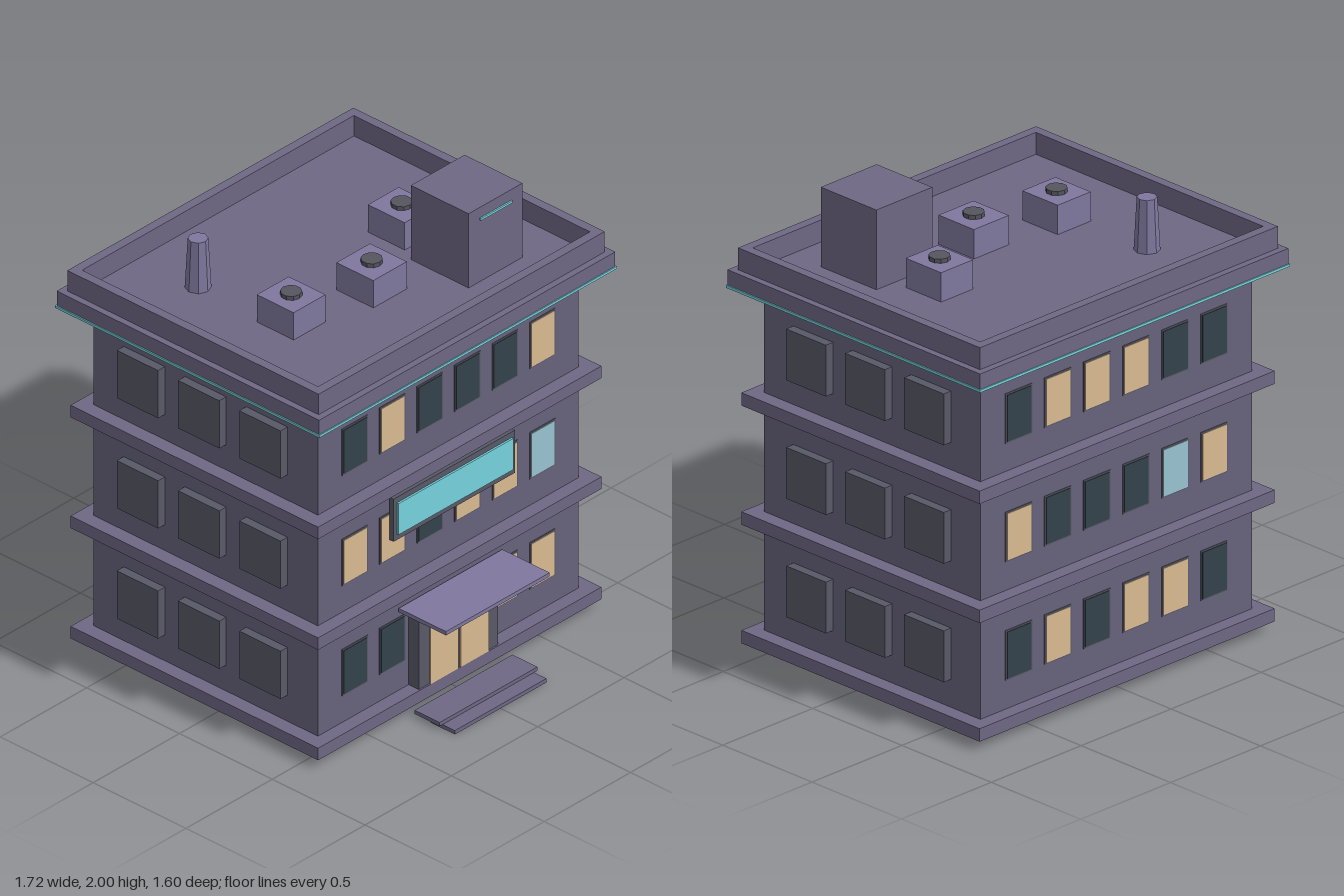
import * as THREE from 'three';

const mat = (color) => new THREE.MeshStandardMaterial({ color, flatShading: true });
const M = {
  wall: mat(0x67637d), trim: mat(0x6e6884), unit: mat(0x7f789e), frame: mat(0x585968),
  D: mat(0x33424a), L: mat(0xd9ba90), C: mat(0x98c4d2), glow: mat(0x76d2dc), vent: mat(0x55555f),
};
const CZ = -0.087; // the building sits a little behind the origin, the steps in front

// Box given by its extents
function box(parent, name, material, [x0, x1], [y0, y1], [z0, z1]) {
  const mesh = new THREE.Mesh(new THREE.BoxGeometry(x1 - x0, y1 - y0, z1 - z0), material);
  mesh.position.set((x0 + x1) / 2, (y0 + y1) / 2, (z0 + z1) / 2);
  mesh.name = name;
  parent.add(mesh);
  return mesh;
}

// Slab centred on the building
const slab = (parent, name, material, hx, hz, y) =>
  box(parent, name, material, [-hx, hx], y, [CZ - hz, CZ + hz]);

// Rectangular ring of four bars
function ring(parent, name, material, hx, hz, t, y) {
  const g = new THREE.Group();
  g.name = name;
  for (const s of [-1, 1]) {
    const z = CZ + s * (hz - t / 2), x = s * (hx - t / 2);
    box(g, name + 'Long', material, [-hx, hx], y, [z - t / 2, z + t / 2]);
    box(g, name + 'Short', material, [x - t / 2, x + t / 2], y, [CZ - hz + t, CZ + hz - t]);
  }
  parent.add(g);
}

// Rooftop cylinder standing on y0
function drum(parent, name, material, rTop, rBottom, sides, x, [y0, y1], z) {
  const mesh = new THREE.Mesh(new THREE.CylinderGeometry(rTop, rBottom, y1 - y0, sides), material);
  mesh.position.set(x, (y0 + y1) / 2, z);
  mesh.name = name;
  parent.add(mesh);
}

export function createModel() {
  const model = new THREE.Group();
  model.name = 'building';

  // Main block, floor ledges, cornice and parapet
  slab(model, 'walls', M.wall, 0.755, 0.605, [0.045, 1.6]);
  for (const y of [0.04, 0.553, 1.068]) slab(model, 'ledge', M.trim, 0.82, 0.667, [y, y + 0.056]);
  slab(model, 'cornice', M.trim, 0.857, 0.707, [1.585, 1.655]);
  ring(model, 'lightStrip', M.glow, 0.862, 0.712, 0.012, [1.577, 1.588]);
  ring(model, 'parapet', M.trim, 0.828, 0.677, 0.041, [1.655, 1.75]);

  // Windows: D dark, L lit, C cool; each row runs left to right as seen from outside
  const frontRows = ['DDDDLL', 'LLDLLC', 'DLDDDL'];
  const backRows = ['DLDLLD', 'LDDDCL', 'DLLLDD'];
  const windows = new THREE.Group();
  windows.name = 'windows';
  model.add(windows);
  for (let floor = 0; floor < 3; floor++) {
    const y = 0.328 + floor * 0.5125;
    [[1, frontRows], [-1, backRows]].forEach(([s, rows]) => {
      for (let i = 0; i < 6; i++) {
        const x = s * (-0.543 + i * 0.2172);
        const face = CZ + s * 0.605;
        const zs = (a, b) => [face + s * a, face + s * b].sort((p, q) => p - q);
        box(windows, 'windowFrame', M.frame, [x - 0.074, x + 0.074], [y - 0.108, y + 0.108], zs(-0.02, 0.003));
        box(windows, 'windowPane', M[rows[floor][i]], [x - 0.067, x + 0.067], [y - 0.101, y + 0.101], zs(-0.01, 0.006));
      }
    });
    // Projecting blind windows on both sides
    for (const s of [-1, 1])
      for (const z of [0.243, CZ, -0.417])
        box(windows, 'sideWindow', M.frame, [s * 0.77 - 0.025, s * 0.77 + 0.025], [y - 0.111, y + 0.111], [z - 0.111, z + 0.111]);
  }

  // Entrance with double door, canopy and steps
  box(model, 'doorSurround', M.frame, [-0.23, 0.23], [0.09, 0.472], [0.5, 0.573]);
  for (const s of [-1, 1])
    box(model, 'door', M.L, [s * 0.088 - 0.081, s * 0.088 + 0.081], [0.096, 0.385], [0.565, 0.58]);
  box(model, 'canopy', M.unit, [-0.3, 0.3], [0.47, 0.488], [0.53, 0.785]);
  box(model, 'upperStep', M.trim, [-0.283, 0.283], [0.019, 0.036], [0.6, 0.735]);
  box(model, 'lowerStep', M.trim, [-0.265, 0.265], [0, 0.018], [0.668, 0.8]);

  // Lit panel over the entrance
  box(model, 'panelFrame', M.frame, [-0.352, 0.352], [0.83, 1.028], [0.53, 0.551]);
  box(model, 'panelFace', M.glow, [-0.333, 0.333], [0.857, 1.002], [0.545, 0.56]);
  for (const s of [-1, 1])
    box(model, 'panelBracket', M.frame, [s * 0.25 - 0.01, s * 0.25 + 0.01], [0.92, 0.94], [0.51, 0.535]);

  // Roof house with light bar
  box(model, 'roofHouse', M.trim, [0.266, 0.577], [1.65, 2], [0.069, 0.38]);
  box(model, 'roofHouseLight', M.glow, [0.33, 0.512], [1.941, 1.951], [0.375, 0.387]);

  // Cooling units with round fans, and the chimney
  for (const [x, z, hx, hz] of [[-0.396, 0.04, 0.092, 0.099], [-0.002, 0.107, 0.097, 0.099], [0.39, -0.096, 0.089, 0.099]]) {
    box(model, 'coolingUnit', M.unit, [x - hx, x + hx], [1.65, 1.782], [z - hz, z + hz]);
    drum(model, 'coolingFan', M.vent, 0.044, 0.044, 10, x, [1.775, 1.8], z);
  }
  drum(model, 'chimney', M.unit, 0.041, 0.053, 8, -0.455, [1.65, 1.883], -0.407);

  return model;
}
